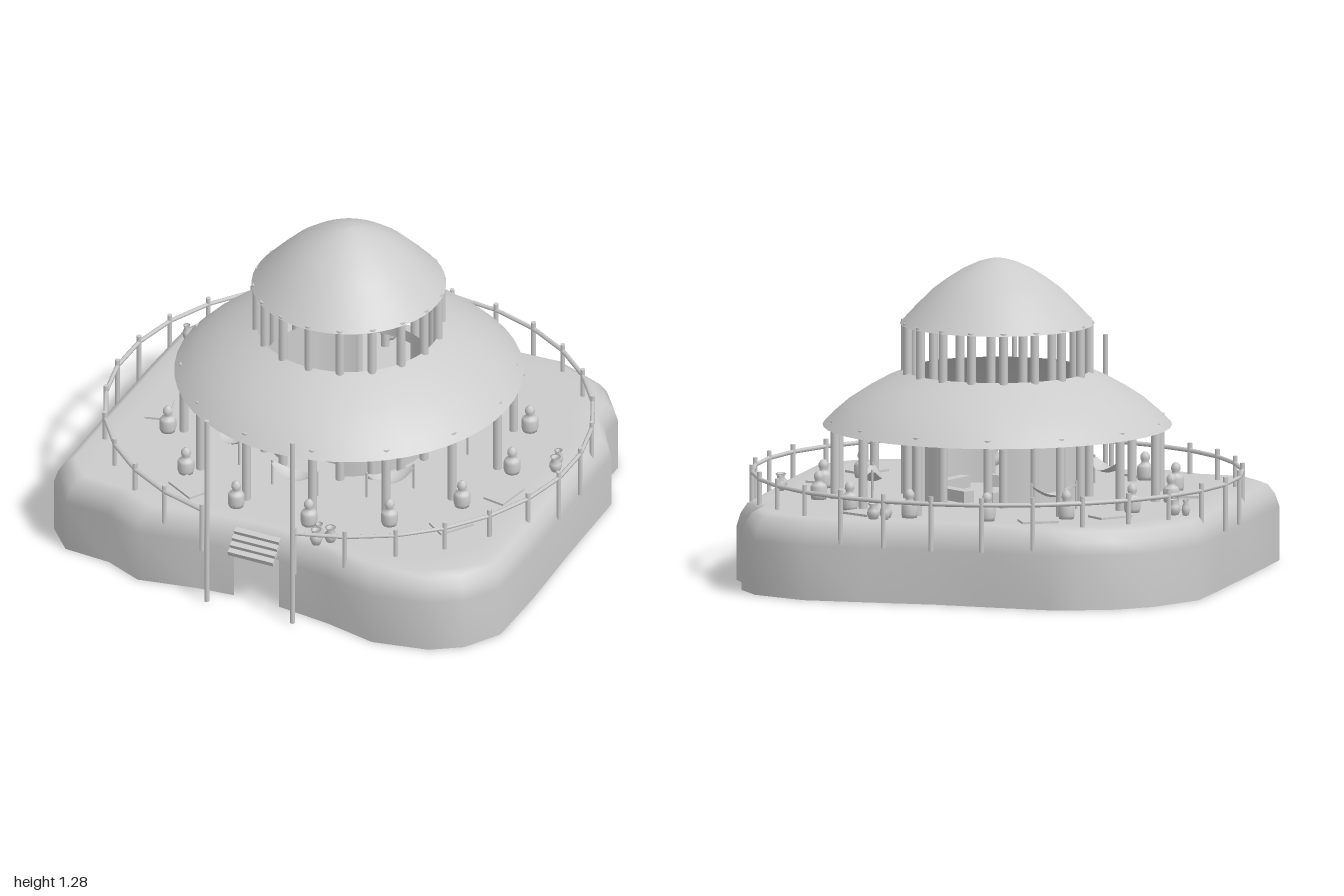
import * as THREE from 'three';

const mat = new THREE.MeshStandardMaterial({ color: 0xcccccc, side: THREE.DoubleSide });
const FLOOR = 0.325;

function add(parent, name, geo, x = 0, y = 0, z = 0, ry = 0) {
  const m = new THREE.Mesh(geo, mat);
  m.name = name;
  m.position.set(x, y, z);
  m.rotation.y = ry;
  parent.add(m);
  return m;
}

function group(parent, name) {
  const g = new THREE.Group();
  g.name = name;
  parent.add(g);
  return g;
}

// call fn(x, z, angle) for n places on a circle; angle 0 is the front
function ring(n, r, offset, fn) {
  for (let i = 0; i < n; i++) {
    const a = offset + (i * 2 * Math.PI) / n;
    fn(r * Math.sin(a), r * Math.cos(a), a);
  }
}

const lathe = (pts, seg) => new THREE.LatheGeometry(pts.map(p => new THREE.Vector2(...p)), seg);
const post = (r, y0, y1, seg = 10) => new THREE.CylinderGeometry(r, r, y1 - y0, seg).translate(0, (y0 + y1) / 2, 0);

// Irregular rounded mound, hollow below, with a doorway in the front wall
function moundGeometry() {
  const outline = [
    [-0.975, -0.15], [-0.97, -0.45], [-0.85, -0.68], [-0.72, -0.8], [-0.58, -0.86], [-0.47, -0.89],
    [-0.24, -0.88], [0, -0.865], [0.3, -0.88], [0.55, -0.89], [0.78, -0.8], [0.87, -0.68],
    [0.87, -0.57], [0.965, -0.42], [0.975, 0], [0.99, 0.35], [0.99, 0.66], [0.9, 0.81], [0.78, 0.89],
    [0.55, 0.935], [0.33, 0.885], [0.1, 0.855], [-0.1, 0.855], [-0.26, 0.87], [-0.5, 0.915],
    [-0.66, 0.845], [-0.86, 0.83], [-0.97, 0.71], [-0.975, 0.3]];
  const rows = [[0, 1], [0.22, 1], [0.27, 0.985], [0.31, 0.96], [FLOOR, 0.93], [FLOOR, 0.85]];
  const n = outline.length, pos = [], idx = [];
  const door = outline.findIndex(p => p[0] === 0.1);
  for (const [y, s] of rows) for (const [x, z] of outline) pos.push(x * s, y, z * s);
  for (let r = 0; r < rows.length - 1; r++) {
    for (let i = 0; i < n; i++) {
      if (r === 0 && i === door) continue;
      const a = r * n + i, b = r * n + (i + 1) % n, c = b + n, d = a + n;
      idx.push(a, d, c, a, c, b);
    }
  }
  const last = (rows.length - 1) * n;
  pos.push(0, FLOOR, 0);
  for (let i = 0; i < n; i++) idx.push(last + i, rows.length * n, last + (i + 1) % n);
  const g = new THREE.BufferGeometry();
  g.setAttribute('position', new THREE.Float32BufferAttribute(pos, 3));
  g.setIndex(idx);
  g.computeVertexNormals();
  return g;
}

// Cloth strip sagging between its two ends
function hammockGeometry() {
  const g = new THREE.PlaneGeometry(0.2, 0.08, 12, 4).rotateX(-Math.PI / 2);
  const p = g.attributes.position;
  for (let i = 0; i < p.count; i++) {
    const u = p.getX(i) / 0.1, v = p.getZ(i) / 0.04;
    p.setY(i, -0.05 * (1 - u * u) + 0.012 * v * v * (1 - u * u));
    p.setZ(i, p.getZ(i) * (1 - 0.75 * u * u));
  }
  g.computeVertexNormals();
  return g;
}

export function createModel() {
  const model = new THREE.Group();
  model.name = 'pavilion';
  add(model, 'mound', moundGeometry());

  // Sloped slats over the doorway
  const awning = group(model, 'doorAwning');
  for (let i = 0; i < 4; i++) {
    add(awning, 'slat', new THREE.BoxGeometry(0.2, 0.02, 0.024), 0, 0.3 - i * 0.022, 0.845 + i * 0.019).rotation.x = 0.3;
  }
  for (const x of [-0.18, 0.2]) add(model, 'gatePole', post(0.01, 0, 0.85), x, 0, 0.94);

  // Round railing, open at the front
  const railing = group(model, 'railing');
  const railPts = [];
  for (let i = 1; i < 30; i++) {
    const a = (i * Math.PI) / 15;
    const x = 0.985 * Math.sin(a), z = 0.957 * Math.cos(a);
    railPts.push(new THREE.Vector3(x, 0.42, z));
    add(railing, 'railPost', post(0.01, 0.23, 0.45, 8), x, 0, z);
  }
  const path = new THREE.CurvePath();
  for (let i = 1; i < railPts.length; i++) path.add(new THREE.LineCurve3(railPts[i - 1], railPts[i]));
  add(railing, 'handrail', new THREE.TubeGeometry(path, 112, 0.009, 6));

  // Two bell-shaped roofs
  add(model, 'lowerRoof', lathe([[0.7, 0.61], [0.66, 0.652], [0.6, 0.704], [0.53, 0.75], [0.45, 0.795], [0.37, 0.83]], 48));
  add(model, 'upperRoof', lathe([[0.39, 1.02], [0.33, 1.085], [0.26, 1.155], [0.2, 1.2], [0.14, 1.238],
    [0.08, 1.266], [0.035, 1.279], [0, 1.283]], 48));

  // Colonnades
  const columns = group(model, 'columns');
  const half = Math.PI / 14;
  ring(14, 0.66, half, (x, z) => add(columns, 'outerColumn', post(0.018, 0.315, 0.64), x, 0, z));
  ring(18, 0.37, 0, (x, z, a) => {
    const inDoor = Math.abs(x) < 0.1;
    add(columns, 'innerColumn', post(0.018, inDoor ? 0.6 : 0.315, 1.03), x, 0, z);
  });

  // Inner round wall with a doorway front and back, and a lintel above
  const wall = group(model, 'innerWall');
  const gap = 0.36;
  for (const start of [gap, Math.PI + gap]) {
    add(wall, 'wallHalf', new THREE.CylinderGeometry(0.35, 0.35, 0.3, 28, 1, true, start, Math.PI - 2 * gap), 0, FLOOR + 0.15, 0);
  }
  add(wall, 'lintel', new THREE.CylinderGeometry(0.35, 0.35, 0.05, 48, 1, true), 0, 0.605, 0);

  // Seats in a circle
  const seats = group(model, 'benches');
  ring(5, 0.23, 0, (x, z, a) => add(seats, 'bench', new THREE.BoxGeometry(0.22, 0.055, 0.05), x, 0.345, z, a));

  // Sagging hammocks beneath the lower roof
  const hammock = hammockGeometry();
  const hammocks = group(model, 'hammocks');
  for (const deg of [0, 45, 106, 223, 315]) {
    const a = THREE.MathUtils.degToRad(deg);
    const g = group(hammocks, 'hammock');
    g.position.set(0.5 * Math.sin(a), 0, 0.5 * Math.cos(a));
    g.rotation.y = a;
    add(g, 'cloth', hammock, 0, 0.43, 0);
    for (const s of [-0.1, 0.1]) add(g, 'support', post(0.005, FLOOR, 0.44, 6), s, 0, 0);
  }

  // Lidded jars beside the outer columns
  const jar = lathe([[0, 0.315], [0.03, 0.325], [0.034, 0.34], [0.034, 0.375], [0.028, 0.385], [0.017, 0.392],
    [0.015, 0.402], [0.02, 0.41], [0.019, 0.425], [0.01, 0.437], [0, 0.44]], 12);
  const jars = group(model, 'jars');
  ring(14, 0.725, Math.PI / 2 - 2 * half * 3, (x, z) => add(jars, 'jar', jar, x, 0, z));

  // Small open vases in clusters
  const vase = lathe([[0, 0.32], [0.017, 0.322], [0.026, 0.345], [0.024, 0.36], [0.014, 0.374], [0.022, 0.388],
    [0.015, 0.386], [0.01, 0.374]], 12);
  const vases = group(model, 'vases');
  for (const [x, z, s] of [[0.24, -0.79, 0.75], [0.29, -0.785, 1], [0.25, -0.74, 1],
    [0.24, 0.78, 0.75], [0.295, 0.785, 1], [0.25, 0.825, 1], [0.865, -0.135, 0.75], [0.877, -0.085, 1],
    [-0.885, -0.345, 0.65], [-0.835, -0.34, 1], [-0.825, -0.295, 0.75]]) {
    add(vases, 'vase', vase, x, 0, z).scale.set(s, 1, s);
  }

  // Mats lying on the terrace
  const mats = group(model, 'mats');
  for (const [x, z, turn] of [[-0.37, -0.69, 0.5], [-0.61, -0.48, 0.87], [-0.75, 0.19, 1.85], [-0.39, 0.67, -0.52],
    [0.37, -0.67, -0.5], [0.77, 0.17, 1.4], [0.68, 0.47, 0.97]]) {
    add(mats, 'mat', new THREE.BoxGeometry(0.15, 0.012, 0.095), x, FLOOR + 0.003, z, turn);
  }
  return model;
}
